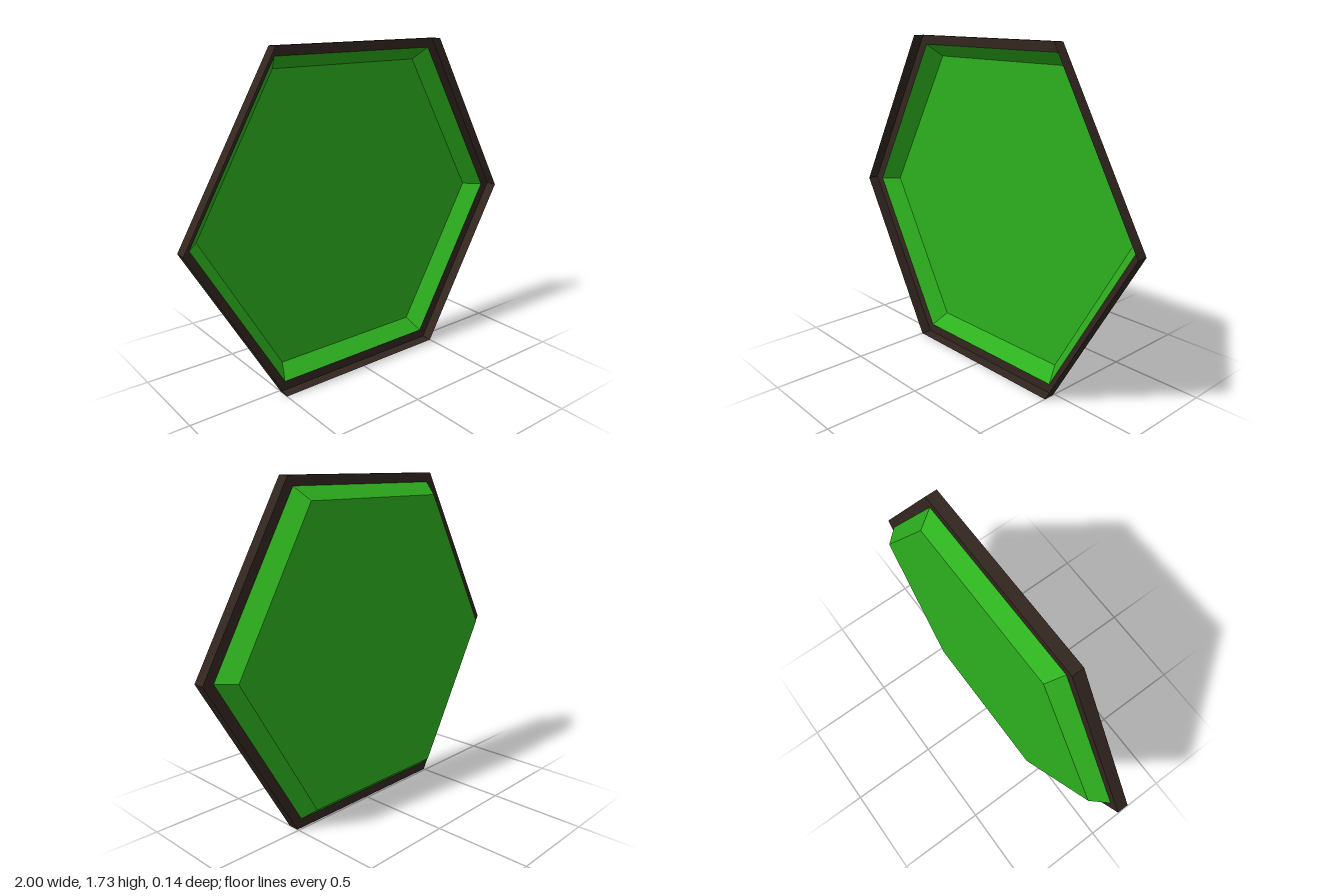
import * as THREE from 'three';

const SIDES = 6;
const CENTER_Y = Math.sqrt(3) / 2;

// Radii (to the corners) and depths of the sheet tray
const OUTER = 1, INNER = 0.944, FLOOR = 0.871;
const FRONT = 0.07, FLANGE = 0.01, BACK = -0.07;

function sheetMaterial(color) {
  return new THREE.MeshStandardMaterial({ color, flatShading: true, side: THREE.DoubleSide });
}

// Open hexagonal band running along z, with corners on the x axis
function band(frontRadius, frontZ, backRadius, backZ) {
  return new THREE.CylinderGeometry(frontRadius, backRadius, frontZ - backZ, SIDES, 1, true, Math.PI / 2)
    .rotateX(Math.PI / 2)
    .translate(0, 0, (frontZ + backZ) / 2);
}

export function createModel() {
  const model = new THREE.Group();
  model.name = 'hexagonalTray';
  const dark = sheetMaterial(0x32261f);
  const green = sheetMaterial(0x2db01e);

  const add = (name, geometry, material) => {
    const mesh = new THREE.Mesh(geometry, material);
    mesh.name = name;
    mesh.position.y = CENTER_Y;
    model.add(mesh);
  };

  // Dark frame: thin outer hoop open at the front, and the flat flange behind it
  add('rimWall', band(OUTER, FRONT, OUTER, FLANGE), dark);
  add('rimFlange', new THREE.RingGeometry(INNER, OUTER, SIDES, 1).translate(0, 0, FLANGE), dark);

  // Green dish: sloped walls down to a flat floor, raised when seen from behind
  add('slopedWalls', band(INNER, FLANGE, FLOOR, BACK), green);
  add('floorPanel', new THREE.CircleGeometry(FLOOR, SIDES).translate(0, 0, BACK), green);

  return model;
}
